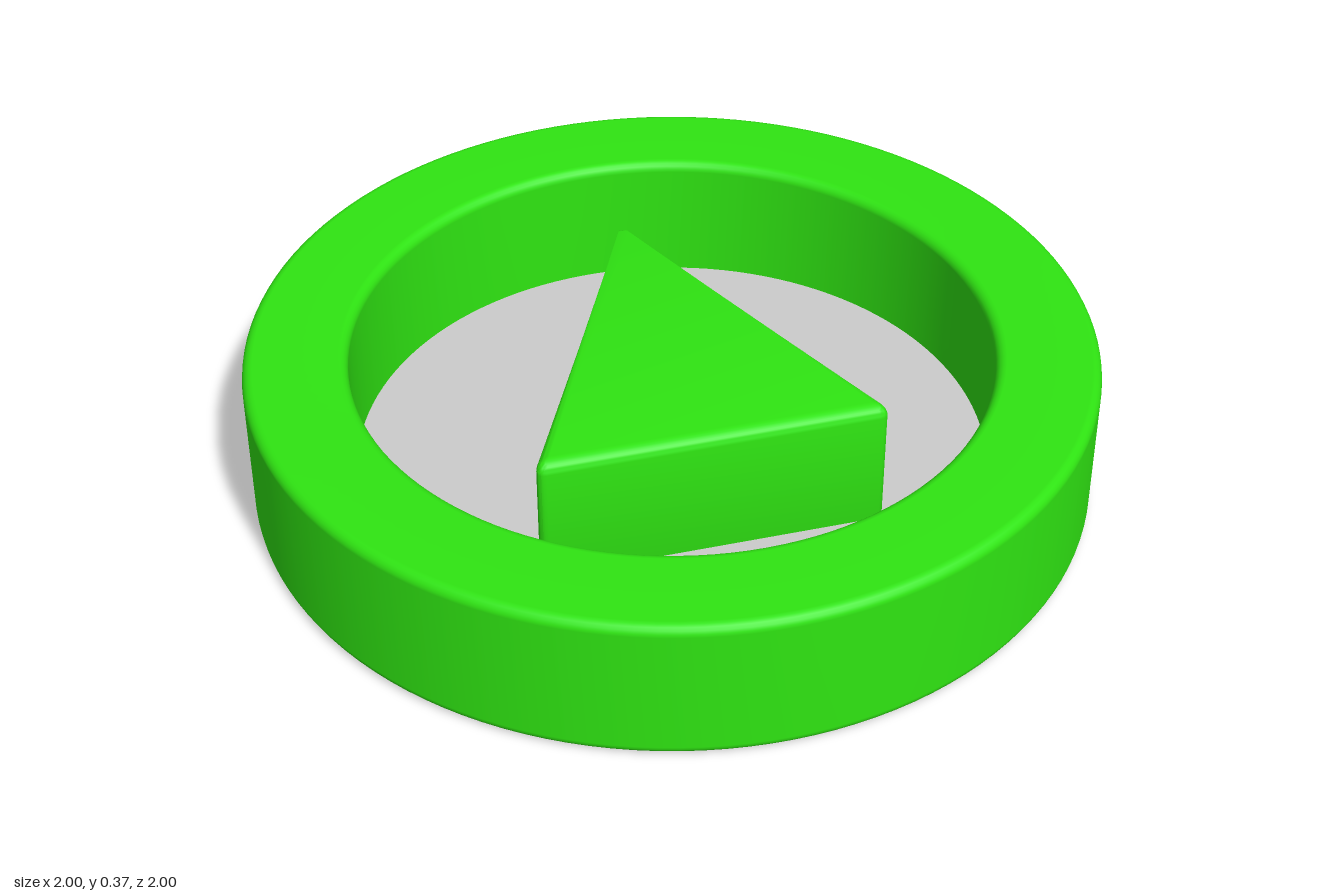
import * as THREE from 'three';
import { RoundedBoxGeometry } from 'three/addons/geometries/RoundedBoxGeometry.js';
import { toCreasedNormals } from 'three/addons/utils/BufferGeometryUtils.js';

const HEIGHT = 0.365;
const INNER = 0.755;
const OUTER = 1;

// Ring cross-section: a rectangle with rounded corners, counter-clockwise
function ringProfile(radius, steps) {
  const corners = [
    [OUTER - radius, radius, -Math.PI / 2],
    [OUTER - radius, HEIGHT - radius, 0],
    [INNER + radius, HEIGHT - radius, Math.PI / 2],
    [INNER + radius, radius, Math.PI],
  ];
  const start = new THREE.Vector2((INNER + OUTER) / 2, 0);
  const points = [start];
  for (const [cx, cy, from] of corners) {
    for (let i = 0; i <= steps; i++) {
      const a = from + (i / steps) * (Math.PI / 2);
      points.push(new THREE.Vector2(cx + radius * Math.cos(a), cy + radius * Math.sin(a)));
    }
  }
  points.push(start.clone());
  return points;
}

// Rounded box whose back end is pinched to a vertical edge
function arrowGeometry() {
  const tip = -0.49, base = 0.38;
  const geometry = new RoundedBoxGeometry(0.82, HEIGHT, base - tip, 4, 0.03);
  geometry.translate(0, HEIGHT / 2, (base + tip) / 2);
  const p = geometry.attributes.position;
  for (let i = 0; i < p.count; i++) {
    p.setX(i, p.getX(i) * Math.max(0, (p.getZ(i) - tip) / 0.85));
  }
  return toCreasedNormals(geometry, 0.5);
}

export function createModel() {
  const group = new THREE.Group();
  const green = new THREE.MeshStandardMaterial({ color: 0x2fe512 });
  const grey = new THREE.MeshStandardMaterial({ color: 0xcccccc });

  const add = (name, geometry, material) => {
    const mesh = new THREE.Mesh(geometry, material);
    mesh.name = name;
    group.add(mesh);
    return mesh;
  };

  // Outer rim
  add('ring', new THREE.LatheGeometry(ringProfile(0.025, 5), 128), green);

  // Thin floor, set slightly above the underside
  add('floorDisc', new THREE.CylinderGeometry(INNER + 0.01, INNER + 0.01, 0.008, 128), grey)
    .position.y = 0.038;

  // Raised triangular pointer, passing through the floor
  add('arrow', arrowGeometry(), green);

  return group;
}
